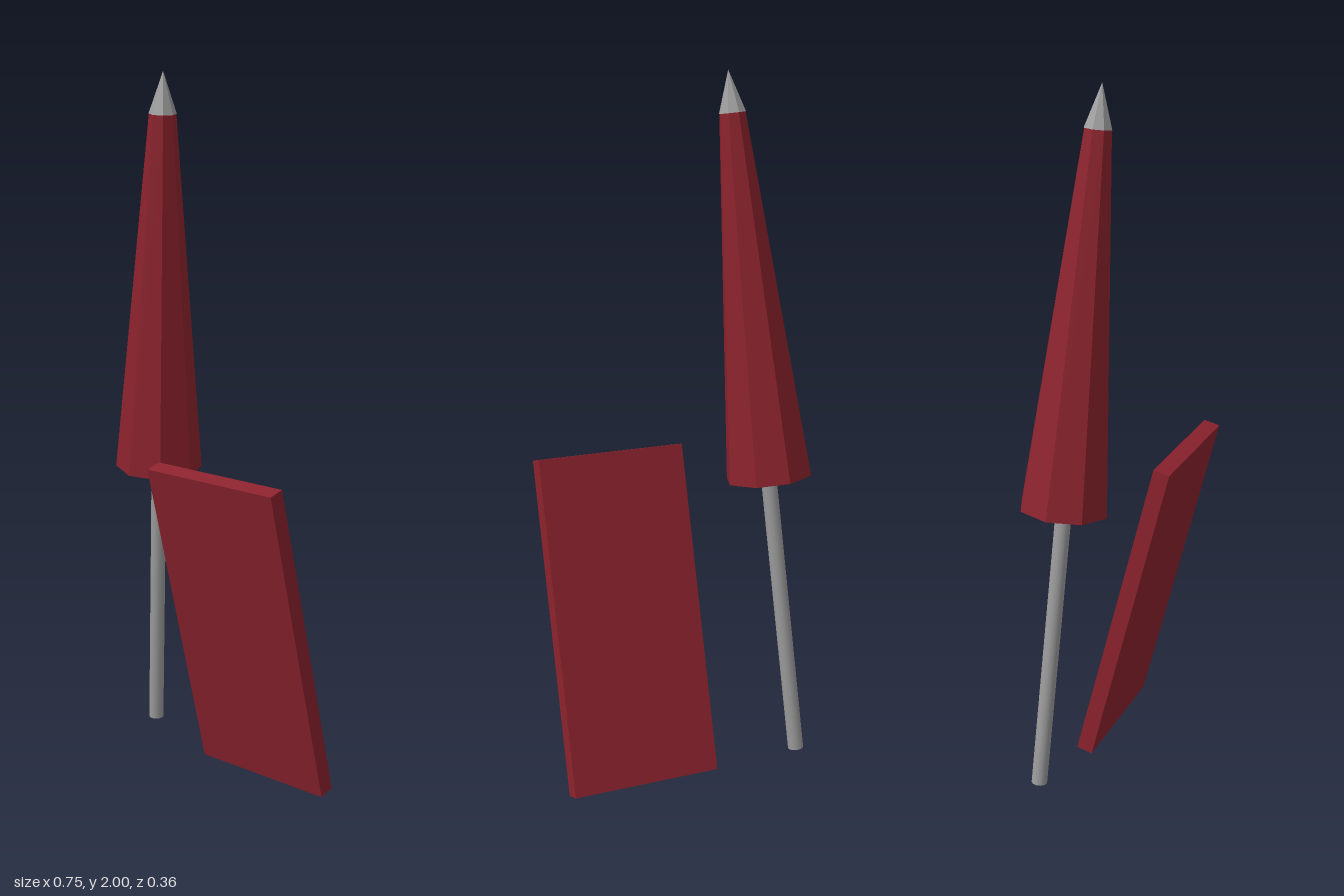
import * as THREE from 'three';

const red = new THREE.MeshStandardMaterial({ color: 0x8c222d, flatShading: true });
red.name = 'deep red';
const grey = new THREE.MeshStandardMaterial({ color: 0x9c9c9c });
grey.name = 'grey metal';
const greyFlat = grey; // one grey for the pole and the tip

export function createModel() {
  const model = new THREE.Group();
  model.name = 'foldedParasolAndBoard';

  // Closed parasol: every part is stacked along one leaning axis
  const parasol = new THREE.Group();
  parasol.name = 'parasol';
  parasol.position.set(-0.325, 0.035, -0.11);
  parasol.rotation.set(0.067, 0, -0.0865);
  model.add(parasol);

  const addStage = (name, rTop, rBottom, from, to, sides, material) => {
    let geometry = new THREE.CylinderGeometry(rTop, rBottom, to - from, sides);
    if (sides === 8) {
      geometry = geometry.toNonIndexed(); // crisp facets
      geometry.computeVertexNormals();
    }
    const mesh = new THREE.Mesh(geometry, material);
    mesh.name = name;
    mesh.position.y = (from + to) / 2;
    parasol.add(mesh);
  };
  addStage('pole', 0.0225, 0.0225, 0, 1.8, 12, grey);
  addStage('foldedCanopy', 0.038, 0.126, 0.83, 1.861, 8, red);
  addStage('tip', 0, 0.039, 1.861, 1.977, 8, greyFlat);

  // Flat board leaning forward at its top
  const board = new THREE.Mesh(new THREE.BoxGeometry(0.445, 0.953, 0.048), red);
  board.name = 'leaningBoard';
  board.position.set(0.1525, 0.4675, 0.0425);
  board.rotation.x = 0.25;
  model.add(board);

  return model;
}
